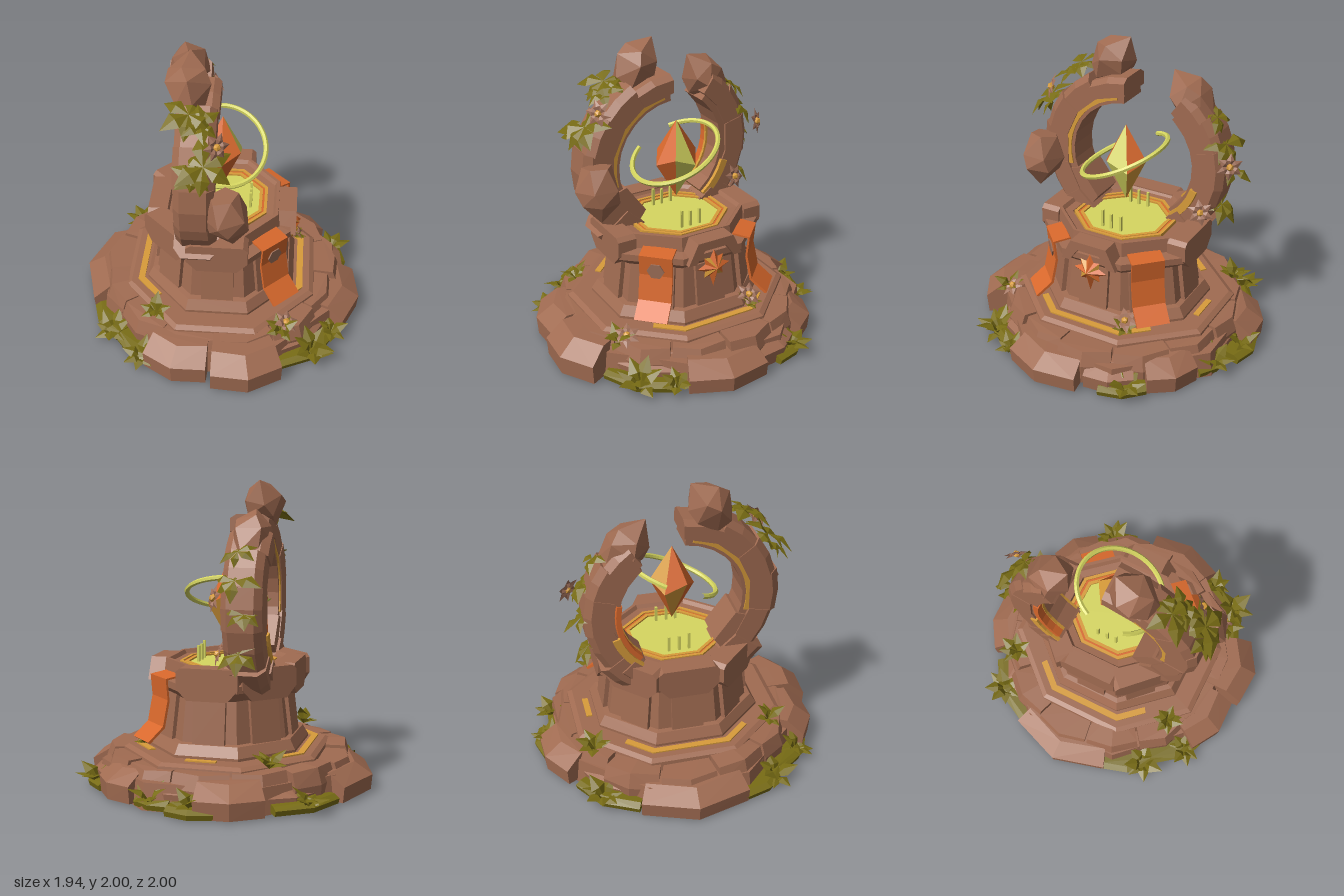
import * as THREE from 'three';
import { ConvexGeometry } from 'three/addons/geometries/ConvexGeometry.js';

const V = (x, y, z) => new THREE.Vector3(x, y, z);
const D = Math.PI / 180;
const shapeOf = pts => new THREE.Shape(pts.map(([x, y]) => new THREE.Vector2(x, y)));
const slab = (pts, depth) => new THREE.ExtrudeGeometry(shapeOf(pts), { depth, bevelEnabled: false });

function material(name, color, side = THREE.FrontSide) {
  const m = new THREE.MeshStandardMaterial({ color, flatShading: true, side });
  m.name = name;
  return m;
}

export function createModel() {
  const root = new THREE.Group();
  root.name = 'ruinedShrine';
  const stone = material('stone', 0xa06b51);
  const leafMat = material('leaf', 0x786c14, THREE.DoubleSide);
  const orange = material('orange', 0xd8682c, THREE.DoubleSide);
  const gold = material('gold', 0xd89c3a);
  const lime = material('lime', 0xd6d660);
  const petalMat = material('petal', 0xa0705a, THREE.DoubleSide);

  let seed = 11;
  const rnd = () => (seed = (seed * 16807) % 2147483647) / 2147483647;

  const add = (name, geo, mat, parent = root) => {
    const m = new THREE.Mesh(geo, mat);
    m.name = name;
    parent.add(m);
    return m;
  };
  const hull = (name, pts, mat = stone) => add(name, new ConvexGeometry(pts), mat);

  // Octagonal turned part; profile is [apothem, y] from the bottom outside upward
  const octagon = (name, profile, mat, zScale = 1.1) => {
    const pts = profile.map(([a, y]) => new THREE.Vector2(a / Math.cos(Math.PI / 8), y));
    const m = add(name, new THREE.LatheGeometry(pts, 8, Math.PI / 8), mat);
    m.scale.z = zScale;
    return m;
  };

  // Curved block of the base with a sloping outer shoulder
  const baseStone = (name, a0, a1, r0, r1, h, slope, mat = stone) => {
    const pts = [];
    [a0 + 0.6, (a0 + a1) / 2, a1 - 0.6].forEach((deg, i) => {
      const R = r1 * (i === 1 ? 1 : 0.95 + rnd() * 0.03), c = Math.cos(deg * D), s = Math.sin(deg * D);
      const top = h - rnd() * 0.015;
      [[r0, 0.01], [r0, top], [R - slope, top - 0.005], [R, h * 0.55], [R - 0.01, 0.01]]
        .forEach(([r, y]) => pts.push(V(r * c, y, r * s)));
    });
    hull(name, pts, mat);
  };

  // Base: plate, slabs and outer boulders
  octagon('basePlate', [[0, 0], [0.8, 0], [0.78, 0.17], [0, 0.17]], stone, 1.03);
  for (let i = 0; i < 13; i++) {
    const a = i * 360 / 13 + 5;
    baseStone('baseSlab', a, a + 360 / 13, 0.56, 0.81 + 0.05 * rnd(), 0.235 + 0.025 * rnd(), 0.035);
  }
  [[-9, 26, 0.975, 0.2], [-33, -10, 0.9, 0.19], [-61, -37, 0.93, 0.22], [-90, -64, 0.84, 0.2],
    [-119, -91, 0.97, 0.22], [-146, -121, 0.86, 0.17], [160, 206, 0.98, 0.2], [92, 120, 0.98, 0.25],
    [62, 91, 1.03, 0.25], [28, 58, 0.86, 0.19]]
    .forEach(([a, b, r, h]) => baseStone('outerBoulder', a, b, 0.62, r, h, 0.12));

  // Moss clumps between the boulders
  [[138, 162, 0.95], [113, 139, 0.95], [206, 238, 0.95], [-38, -17, 0.95], [-60, -38, 0.9],
    [-100, -80, 0.98], [-80, -62, 0.9], [30, 62, 0.95]]
    .forEach(([a, b, r]) => baseStone('mossClump', a, b, 0.7, r, 0.08, 0.04, leafMat));

  // Floor with broken inlaid trim on either side
  octagon('floor', [[0.66, 0.1], [0.64, 0.25], [0.61, 0.268], [0, 0.268]], stone);
  [0, Math.PI].forEach(turn => {
    const g = slab([[0.42, 0.42], [0.565, 0.26], [0.565, -0.26], [0.42, -0.42], [0.385, -0.395], [0.522, -0.242],
      [0.522, 0.242], [0.385, 0.395]], 0.009);
    add('floorTrim', g.rotateX(-Math.PI / 2).rotateY(turn).translate(0, 0.268, 0), gold);
  });
  add('rearFloorTrim', new THREE.BoxGeometry(0.2, 0.009, 0.04), gold).position.set(0.02, 0.272, -0.6);

  // Pedestal
  octagon('pedestalFoot', [[0.5, 0.26], [0.5, 0.285], [0.465, 0.35], [0.4, 0.36]], stone);
  octagon('pedestalBody', [[0.435, 0.33], [0.395, 0.66]], stone);
  octagon('pedestalRim', [[0.37, 0.61], [0.41, 0.64], [0.465, 0.69], [0.465, 0.735], [0.39, 0.745], [0.38, 0.84],
    [0.36, 0.84], [0.345, 0.815], [0.3, 0.81], [0.29, 0.77]], stone, 1.14);
  octagon('poolTrim', [[0.3, 0.78], [0.3, 0.818], [0.28, 0.818], [0.28, 0.8]], gold);
  octagon('poolInnerLine', [[0.282, 0.78], [0.282, 0.81], [0.262, 0.81], [0.262, 0.78]], orange);
  octagon('poolLip', [[0.266, 0.78], [0.266, 0.814], [0.245, 0.814], [0.245, 0.78]], gold);
  octagon('pool', [[0.25, 0.78], [0.25, 0.803], [0, 0.803]], lime);

  // Pillar panels on eight faces; rim blocks on all but the two banner faces
  for (let i = 0; i < 8; i++) {
    const a = i * 45 * D;
    const g = new THREE.Group();
    g.name = 'pedestalFace';
    g.rotation.y = -a;
    root.add(g);
    const grow = 1 + 0.12 * Math.sin(a) ** 2;
    const panel = add('pillarPanel', new THREE.BoxGeometry(0.03, 0.29, 0.21), stone, g);
    panel.position.set(0.425 * grow, 0.495, 0);
    panel.rotation.z = 0.12;
    if (i > 0 && i !== 1 && i !== 7) {
      const b = add('rimBlock', slab([[-0.13, 0.635], [0.13, 0.635], [0.2, 0.71], [0.2, 0.815], [0.17, 0.84],
        [-0.17, 0.84], [-0.2, 0.815], [-0.2, 0.71]], 0.13), stone, g);
      b.rotation.y = Math.PI / 2;
      b.position.x = 0.485 * grow - 0.13;
    }
  }

  // Gabled frame around a recess, with a faceted star
  const gable = add('starFrame', slab([[-0.2, 0.69], [-0.13, 0.835], [0.13, 0.835], [0.2, 0.69], [0.14, 0.69],
    [0.08, 0.775], [-0.08, 0.775], [-0.14, 0.69]], 0.14), stone);
  gable.rotation.y = Math.PI / 2;
  gable.position.x = 0.36;
  const starPos = [], starGeo = new THREE.BufferGeometry();
  const starPoint = i => {
    const r = i % 2 ? 0.07 : i % 4 ? 0.1 : i === 8 ? 0.15 : 0.12, a = i * Math.PI / 8;
    return [0, r * Math.cos(a), r * Math.sin(a)];
  };
  for (let i = 0; i < 16; i++) {
    starPos.push(0.05, 0, 0, ...starPoint(i), ...starPoint(i + 1));
    starGeo.addGroup(i * 3, 3, i % 4 === 1 ? 1 : 0);
  }
  starGeo.setAttribute('position', new THREE.Float32BufferAttribute(starPos, 3));
  starGeo.computeVertexNormals();
  add('star', starGeo, [orange, gold]).position.set(0.475, 0.635, 0);

  // Cloth banners draped over the two diagonal faces
  [1, -1].forEach(s => {
    const path = [[0.4, 0.755], [0.512, 0.738], [0.5, 0.6], [0.535, 0.43], [0.64, 0.34]];
    const outer = path.map(([d, y]) => [d + 0.014, y + 0.01]).reverse();
    const g = new THREE.Group();
    g.name = 'bannerGroup';
    g.rotation.y = -s * 45 * D;
    root.add(g);
    add('banner', slab([...path, ...outer], 0.22), orange, g).position.z = -0.11;
    if (s > 0) {
      const patch = add('bannerPatch', new THREE.CylinderGeometry(0.058, 0.058, 0.008, 6), petalMat, g);
      patch.rotation.z = -Math.PI / 2 - 0.08;
      patch.position.set(0.522, 0.645, 0);
    }
  });

  // Arch pieces: angles about a centre at y = 1.2, side +1 in front and -1 behind
  const archStone = (name, side, cx, a0, a1, r0, r1, w, mat = stone) => {
    const pts = [];
    [a0 - 0.3, (a0 + a1) / 2, a1 + 0.3].forEach(deg => {
      const c = Math.cos(deg * D), s = Math.sin(deg * D);
      [[r0, w / 2], [r0 + (r1 - r0) * 0.75, w / 2], [r1, w * 0.33]].forEach(([r, x]) =>
        [-x, x].forEach(dx => pts.push(V(cx + dx, 1.2 + r * s, side * r * c))));
    });
    hull(name, pts, mat);
  };
  const archRun = (name, side, cx, a0, a1, step, r0, r1, w, mat) => {
    for (let a = a0; a < a1; a += step) archStone(name, side, cx, a, Math.min(a + step, a1), r0, r1, w, mat);
  };
  [[-58, -38, 0.72, 1.15], [-38, -13, 0.64, 1.05], [-13, 13, 0.66, 1], [13, 37, 0.645, 1.04], [37, 61, 0.63, 1],
    [61, 88, 0.58, 1.06]].forEach(([a, b, r, k]) => archStone('archStone', 1, -0.135, a, b, 0.465, r, 0.25 * k));
  [[-58, -36, 0.67, 1.06], [-36, -10, 0.635, 1], [-10, 15, 0.64, 1.04], [15, 36, 0.64, 1], [36, 54, 0.62, 1.1]]
    .forEach(([a, b, r, k]) => archStone('archStone', -1, -0.235, a, b, 0.465, r, 0.25 * k));
  archRun('archInnerBrick', 1, -0.135, -52, 86, 14, 0.41, 0.5, 0.225);
  archRun('archInnerBrick', -1, -0.235, -52, 50, 14, 0.42, 0.5, 0.225);
  archRun('archTrim', 1, -0.135, -14, 80, 9.4, 0.432, 0.51, 0.243, gold);
  archRun('archTrim', -1, -0.235, -52, -18, 8.5, 0.44, 0.505, 0.275, gold);
  archRun('archInnerPanel', -1, -0.325, -48, 12, 10, 0.408, 0.45, 0.06, orange);
  archRun('archInnerLine', -1, -0.29, -48, 12, 10, 0.404, 0.45, 0.02, gold);
  archStone('archFoot', 1, -0.135, -54, -19, 0.385, 0.6, 0.25);
  archStone('archFoot', -1, -0.235, -56, -44, 0.46, 0.6, 0.29);

  // Pointed rocks: rings around an axis
  const rock = (name, from, to, r, n = 5) => {
    const a = V(...from), b = V(...to), dir = b.clone().sub(a).normalize();
    const q = new THREE.Quaternion().setFromUnitVectors(V(0, 1, 0), dir);
    const pts = [b];
    [[0, 0.65], [0.4, 1], [0.65, 0.85]].forEach(([t, k], j) => {
      for (let i = 0; i < n; i++) {
        const an = (i + j * 0.25) / n * Math.PI * 2, R = r * k * (0.92 + rnd() * 0.14);
        pts.push(V(Math.cos(an) * R, 0, Math.sin(an) * R).applyQuaternion(q).add(a.clone().lerp(b, t)));
      }
    });
    hull(name, pts);
  };
  rock('frontTopRock', [-0.19, 1.72, 0.27], [-0.19, 2.0, 0.07], 0.148);
  rock('rearTopRock', [-0.24, 1.52, -0.45], [-0.24, 1.82, -0.22], 0.145);
  rock('frontSideRock', [0.05, 1.3, 0.6], [0.11, 0.94, 0.61], 0.148);

  // Floating crystal with coloured facets
  const sides = 6, cPos = [], cGeo = new THREE.BufferGeometry();
  const lowerTints = [2, 0, 0, 1, 0, 1], upperTints = [2, 0, 0, 0, 1, 0];
  const waist = i => {
    const a = (i - 0.5) * Math.PI * 2 / sides;
    return [0.14 * Math.cos(a), i % 2 ? 0.04 : -0.02, 0.15 * Math.sin(a)];
  };
  for (let i = 0; i < sides; i++) {
    cPos.push(0, 0.27, 0, ...waist(i + 1), ...waist(i), 0, -0.27, 0, ...waist(i), ...waist(i + 1));
    cGeo.addGroup(i * 6, 3, upperTints[i]);
    cGeo.addGroup(i * 6 + 3, 3, lowerTints[i]);
  }
  cGeo.setAttribute('position', new THREE.Float32BufferAttribute(cPos, 3));
  cGeo.computeVertexNormals();
  add('crystal', cGeo, [orange, gold, lime]).position.y = 1.21;

  // Tilted open ring around the crystal
  const ringPts = [];
  for (let d = -158; d <= 152; d += 10) {
    const x = 0.28 * Math.cos(d * D), z = 0.28 * Math.sin(d * D);
    ringPts.push(V(x, 1.26 - 0.44 * z - 0.1 * x, z + 0.01));
  }
  add('ring', new THREE.TubeGeometry(new THREE.CatmullRomCurve3(ringPts), 60, 0.017, 6), lime);

  // Light rods in the pool
  [-0.19, 0.19].forEach(x => [-0.065, 0.005, 0.07].forEach((z, i) =>
    add('lightRod', new THREE.BoxGeometry(0.017, 0.12, 0.017), lime).position.set(x, 0.85 + (i === 2 ? 0.015 : 0), z)));

  // Folded leaf pointing along +z
  const leafGeo = new THREE.BufferGeometry();
  leafGeo.setAttribute('position', new THREE.Float32BufferAttribute(
    [0, 0, 0, -0.29, 0.04, 0.5, 0, 0.14, 0.5, 0.29, 0.04, 0.5, 0, -0.14, 1], 3));
  leafGeo.setIndex([0, 2, 1, 0, 3, 2, 1, 2, 4, 2, 3, 4]);
  leafGeo.computeVertexNormals();
  const sprig = (name, pos, dir, count, size, pitch, mat) => {
    const g = new THREE.Group();
    g.name = name;
    g.position.set(...pos);
    g.quaternion.setFromUnitVectors(V(0, 1, 0), V(...dir).normalize());
    for (let i = 0; i < count; i++) {
      const wild = mat === leafMat ? rnd() : 0.5;
      const m = add(name + 'Blade', leafGeo, mat, g);
      m.rotation.set(-(pitch + (wild - 0.5) * 0.7), i * Math.PI * 2 / count + (wild - 0.5) * 0.5, 0, 'YXZ');
      m.scale.setScalar(size * (0.8 + wild * 0.4));
    }
    root.add(g);
    return g;
  };
  // Leaf clusters on the arches
  [[-0.17, 1.77, 0.43, 0.18], [-0.1, 1.72, 0.46, 0.12], [-0.07, 1.53, 0.62, 0.18], [-0.12, 1.47, 0.64, 0.13],
    [-0.2, 1.57, -0.55, 0.13], [-0.2, 1.4, -0.62, 0.17], [-0.26, 1.2, -0.64, 0.13], [-0.22, 0.95, -0.6, 0.16]]
    .forEach(([x, y, z, s]) => sprig('archLeaves', [x, y, z], [0.1, 0.9, z], 6, s, -0.15, leafMat));
  // Leaf clusters on the ground and steps
  [[-0.7, 0.02, 0.54, 0.17], [-0.48, 0.03, 0.76, 0.15], [0.64, 0.02, 0.63, 0.18], [-0.65, 0.03, -0.61, 0.16],
    [0.77, 0.03, -0.42, 0.16], [0.77, 0.03, 0.44, 0.13], [0.0, 0.04, -0.87, 0.15], [0.28, 0.05, -0.81, 0.15],
    [-0.4, 0.27, 0.58, 0.13], [0.43, 0.25, 0.67, 0.13], [0.5, 0.27, -0.27, 0.1], [-0.42, 0.26, -0.62, 0.14]]
    .forEach(([x, y, z, s]) => sprig('groundLeaves', [x, y, z], [x * 0.3, 1, z * 0.3], 7, s, 0.7, leafMat));
  // Flowers
  [[0, 1.63, 0.55, 0.5, 0.3, 0.7], [-0.1, 1.3, -0.69, 0.8, 0.2, -0.6], [-0.08, 0.93, -0.51, 0.9, 0.3, -0.3],
    [0.46, 0.3, 0.63, 0.4, 0.8, 0.3], [0.49, 0.34, -0.27, 0.6, 0.7, 0]]
    .forEach(([x, y, z, ...dir]) => {
      const g = sprig('flower', [x, y, z], dir, 6, 0.09, 0.2, petalMat);
      add('flowerHeart', new THREE.IcosahedronGeometry(0.025, 0), gold, g).position.y = 0.015;
    });

  return root;
}
